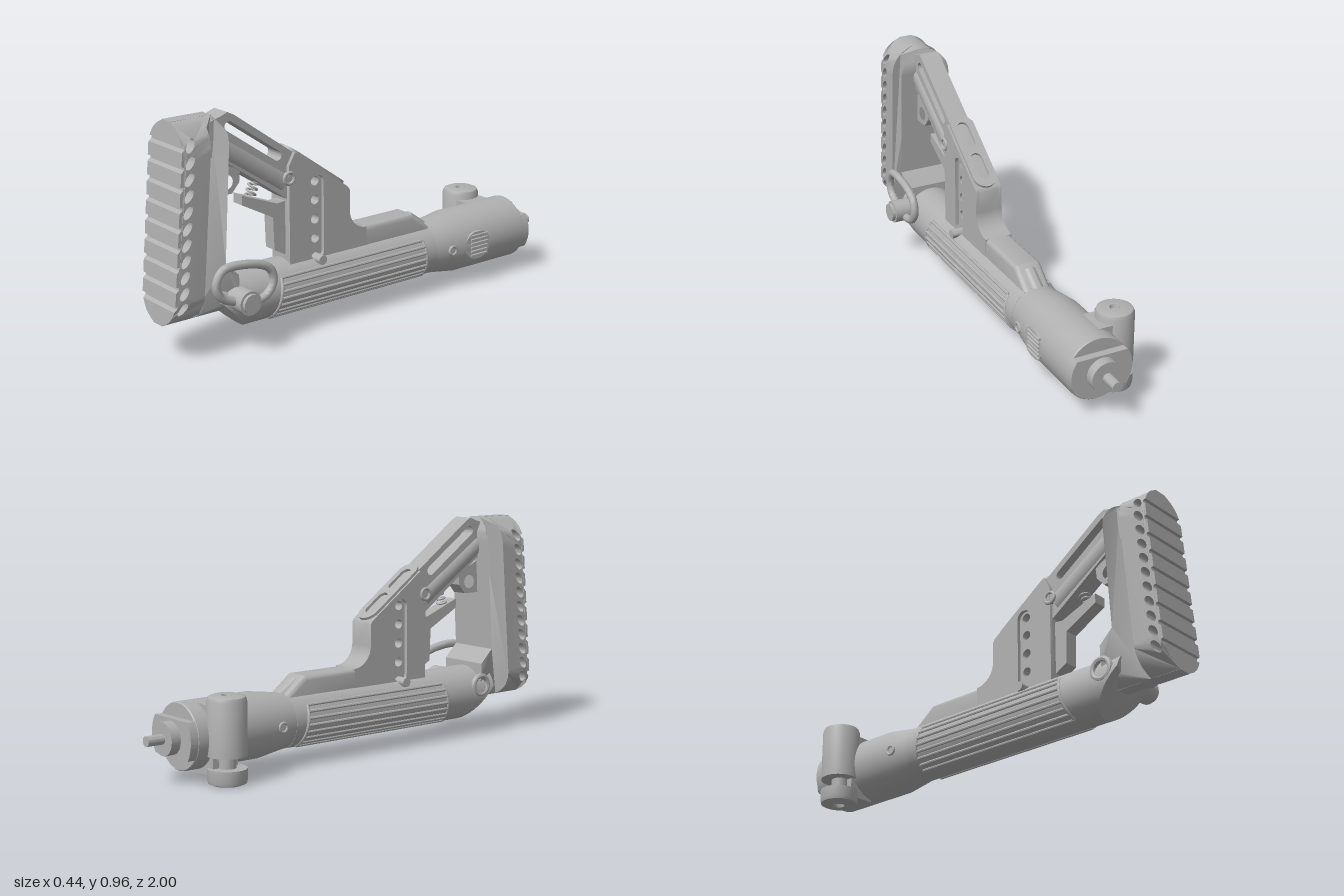
import * as THREE from 'three';
import { toCreasedNormals } from 'three/addons/utils/BufferGeometryUtils.js';

const grey = new THREE.MeshStandardMaterial({ color: 0xb0b0b0 });
grey.name = 'matteGrey';
const V = (x, y, z) => new THREE.Vector3(x, y, z);

export function createModel() {
  const model = new THREE.Group();
  model.name = 'shoulderStock';
  const body = new THREE.Group();
  body.name = 'stockAssembly';
  body.position.x = 0.007;
  model.add(body);

  const add = (name, geo, crease = 0.6) => {
    const mesh = new THREE.Mesh(toCreasedNormals(geo, crease), grey);
    mesh.name = name;
    body.add(mesh);
    return mesh;
  };
  const shapeOf = (pts) => new THREE.Shape(pts.map((p) => new THREE.Vector2(p[0], p[1])));
  const disc = (z, y, rz, ry = rz, rot = 0) => new THREE.Path().absellipse(z, y, rz, ry, 0, Math.PI * 2, true, rot);
  // Capsule outline between two points
  const slot = (a, b, r, Type = THREE.Path) => {
    const t = Math.atan2(b[1] - a[1], b[0] - a[0]), h = Math.PI / 2;
    return new Type().absarc(b[0], b[1], r, t - h, t + h, false).absarc(a[0], a[1], r, t + h, t + 3 * h, false);
  };
  // Side profile in (z, y), extruded across x and centred on x
  const side = (shape, width, x = 0, bevel = 0) => {
    const depth = width - 2 * bevel;
    const g = new THREE.ExtrudeGeometry(shape, {
      depth, curveSegments: 10, bevelEnabled: bevel > 0, bevelSize: bevel,
      bevelThickness: bevel, bevelOffset: -bevel, bevelSegments: 3,
    });
    return g.translate(0, 0, -depth / 2).rotateY(-Math.PI / 2).translate(x, 0, 0);
  };
  const rod = (a, b, r, r2 = r, seg = 28) => {
    const d = b.clone().sub(a);
    const g = new THREE.CylinderGeometry(r2, r, d.length(), seg);
    g.applyQuaternion(new THREE.Quaternion().setFromUnitVectors(V(0, 1, 0), d.clone().normalize()));
    const m = a.clone().add(b).multiplyScalar(0.5);
    return g.translate(m.x, m.y, m.z);
  };
  const tube = (pts, r, closed = false, n = 64) =>
    new THREE.TubeGeometry(new THREE.CatmullRomCurve3(pts, closed), n, r, 10, closed);
  const block = (w, h, d, x, y, z) => new THREE.BoxGeometry(w, h, d).translate(x, y, z);

  // Butt pad: grooved profile, narrowed at both ends into a stadium outline
  const R = 0.119, low = 0.273, high = 0.844;
  const halfWidth = (y) => {
    const d = y > high ? y - high : y < low ? low - y : 0;
    return Math.max(0.03, Math.sqrt(Math.max(0, R * R - d * d)));
  };
  const toStadium = (g) => {
    const p = g.attributes.position;
    for (let i = 0; i < p.count; i++) p.setX(i, p.getX(i) * halfWidth(p.getY(i)) / R);
    return g;
  };
  const ys = [];
  for (let i = 0; i <= 10; i++) {
    const c = R * Math.cos(i * Math.PI / 20);
    ys.push(low - c, high + c);
  }
  ys.sort((a, b) => a - b);
  const zFront = (y) => 0.93 + (0.965 - y) * 0.0864;
  const zSeam = (y) => 0.8 + (0.965 - y) * 0.08;
  const grooves = Array.from({ length: 9 }, (_, i) => 0.885 - i * 0.0785);
  let front = ys.filter((y) => !grooves.some((g) => y < g + 0.003 && y > g - 0.028)).map((y) => [y, 0]);
  grooves.forEach((g) => front.push([g, 0], [g - 0.003, 0.012], [g - 0.014, 0.012], [g - 0.025, 0]));
  front.sort((a, b) => a[0] - b[0]);
  const padShape = shapeOf([
    ...front.map(([y, d]) => [zFront(y) - d, y]),
    ...[...ys].reverse().map((y) => [zSeam(y), y]),
  ]);
  for (let i = 0; i < 11; i++) {
    const y = 0.88 - i * 0.0645;
    padShape.holes.push(disc(zFront(y) - 0.04, y, 0.03, 0.016, Math.PI * 0.7));
  }
  add('buttPad', toStadium(side(padShape, R * 2)));

  // Butt body in front of the pad
  const zInner = (y) => Math.max(0.69, 0.72 + (0.91 - y) * 0.06 + Math.max(0, y - 0.9) * 0.5 - Math.max(0, 0.38 - y) * 1.1);
  const innerYs = [...ys, 0.3, 0.32, 0.34, 0.36, 0.38, 0.6].sort((a, b) => a - b);
  add('buttBody', toStadium(side(shapeOf([
    ...ys.map((y) => [zSeam(y), y]),
    ...innerYs.reverse().map((y) => [zInner(y), y]),
  ]), R * 1.94)));

  // Grip tube with a slanted rear end
  const cy = 0.183, r = 0.118;
  const grip = new THREE.CylinderGeometry(r, r, 1, 48).rotateX(Math.PI / 2);
  const gp = grip.attributes.position;
  for (let i = 0; i < gp.count; i++) {
    const y = gp.getY(i) + cy;
    gp.setXYZ(i, gp.getX(i), y, gp.getZ(i) > 0 ? Math.min(0.77, 0.62 + (y - 0.065)) : -0.35);
  }
  add('gripTube', grip);

  // Ribbed grip panels on both sides
  for (const s of [1, -1]) {
    const at = (deg, z) => {
      const a = deg * Math.PI / 180;
      return V(s * Math.cos(a) * 0.118, cy + Math.sin(a) * 0.118, z);
    };
    for (let i = 0; i < 8; i++) {
      const deg = 36 - i * 14, t = i / 7;
      add('gripRib', rod(at(deg, 0.47 + 0.04 * t), at(deg, -0.28 - 0.03 * t), 0.007, 0.007, 8));
    }
    for (const [z0, z1] of [[0.47, 0.51], [-0.28, -0.31]])
      add('gripPanelEnd', tube([0, 1, 2, 3, 4].map((k) => at(36 - k * 24.5, z0 + (z1 - z0) * k / 4)), 0.007, false, 16));
  }

  // Top ridge ahead of the post, with a small raised catch
  add('topRidge', side(shapeOf([[0.1, 0.24], [0.1, 0.365], [-0.26, 0.365], [-0.37, 0.28], [-0.37, 0.24]]), 0.12, 0, 0.02));
  add('ridgeCatch', rod(V(0, 0.335, -0.27), V(0, 0.275, -0.355), 0.03));
  add('crossBand', rod(V(-0.1, 0.283, 0.26), V(0.1, 0.283, 0.26), 0.02));

  // Cheek frame: post, diagonal strut and slots
  const sweep = [];
  for (let i = 0; i <= 8; i++) {
    const a = i * Math.PI / 16;
    sweep.push([0.09 - 0.09 * (1 - Math.cos(a)), 0.455 - 0.09 * Math.sin(a)]);
  }
  const postFront = [[0.1, 0.56], [0.09, 0.545], ...sweep, [0, 0.25]];
  const core = shapeOf([[0.4, 0.25], [0.4, 0.56], [0.72, 0.785], [0.78, 0.8], [0.78, 0.935], [0.72, 0.95], [0.68, 0.965], [0.65, 0.95], ...postFront]);
  core.holes.push(slot([0.675, 0.908], [0.445, 0.748], 0.02));
  for (const y of [0.61, 0.53, 0.447, 0.365]) core.holes.push(disc(0.26, y, 0.02));
  add('cheekFrame', side(core, 0.09));
  const skin = shapeOf([[0.4, 0.25], [0.4, 0.7], [0.37, 0.752], ...postFront]);
  skin.holes.push(slot([0.26, 0.31], [0.26, 0.605], 0.034));
  for (const s of [1, -1]) {
    add('postSide', side(skin, 0.016, s * 0.053));
    add('pivotRing', new THREE.TorusGeometry(0.024, 0.007, 8, 24).rotateY(Math.PI / 2).translate(s * 0.061, 0.65, 0.4));
    add('pivotPin', rod(V(0, 0.65, 0.4), V(s * 0.058, 0.65, 0.4), 0.024));
  }
  add('strutTube', rod(V(0, 0.845, 0.735), V(0, 0.63, 0.41), 0.056));

  // Slotted plate on the sloping cheek
  const plate = slot([0, -0.13], [0, 0.13], 0.052, THREE.Shape);
  plate.holes.push(slot([0, -0.12], [0, -0.04], 0.025), slot([0, 0.04], [0, 0.12], 0.025));
  const plateGeo = new THREE.ExtrudeGeometry(plate, { depth: 0.012, bevelEnabled: false });
  const d = V(0, 0.58, 0.815).normalize(), n = V(0, d.z, -d.y);
  plateGeo.applyMatrix4(new THREE.Matrix4().makeBasis(V(-1, 0, 0), d, n).setPosition(0, 0.663, 0.245));
  add('cheekPlate', plateGeo);

  // Lug, lever and spring inside the opening
  const lug = shapeOf([[0.77, 0.79], [0.77, 0.63], [0.66, 0.63], [0.625, 0.67], [0.62, 0.72]]);
  lug.holes.push(disc(0.685, 0.68, 0.03));
  add('lug', side(lug, 0.07));
  add('lever', side(shapeOf([[0.61, 0.61], [0.61, 0.57], [0.46, 0.49], [0.455, 0.35], [0.4, 0.32], [0.39, 0.55], [0.44, 0.545]]), 0.06));
  const coil = [];
  for (let i = 0; i <= 48; i++) {
    const a = i * Math.PI / 6, t = i / 48;
    coil.push(V(0.02 * Math.cos(a), 0.585 + 0.08 * t + 0.008 * Math.sin(a), 0.555 - 0.035 * t + 0.018 * Math.sin(a)));
  }
  add('spring', tube(coil, 0.005, false, 160));

  // Sling swivel on the left, matching socket on the right
  add('swivelStud', rod(V(0.05, 0.223, 0.69), V(0.193, 0.223, 0.69), 0.05));
  add('swivelCap', rod(V(0.19, 0.223, 0.69), V(0.208, 0.223, 0.69), 0.04));
  add('slingLoop', tube([[0.82, 0.31], [0.79, 0.365], [0.74, 0.375], [0.61, 0.355], [0.56, 0.325], [0.545, 0.275], [0.575, 0.225], [0.63, 0.207], [0.74, 0.23], [0.8, 0.26]]
    .map(([z, y]) => V(0.145, y, z)), 0.018, true), 1);
  add('socketRing', new THREE.TorusGeometry(0.042, 0.012, 8, 28).rotateY(Math.PI / 2).translate(-0.11, 0.223, 0.69));

  // Rear receiver barrel, end bar and rod
  const lathe = [[0, -0.85], [0.134, -0.85], [0.138, -0.845], [0.138, -0.5], [0.12, -0.38], [0.116, -0.34], [0, -0.34]];
  add('adapterBarrel', new THREE.LatheGeometry(lathe.map((p) => new THREE.Vector2(...p)), 48).rotateX(Math.PI / 2).translate(0, cy, 0));
  const cut = Math.asin(0.077 / 0.136);
  const bar = new THREE.Shape().absarc(0, 0, 0.136, -cut, cut, false).absarc(0, 0, 0.136, Math.PI - cut, Math.PI + cut, false);
  add('endBar', new THREE.ExtrudeGeometry(bar, { depth: 0.05, bevelEnabled: false }).translate(0, cy, -0.883));
  add('endBoss', rod(V(0, cy, -0.86), V(0, cy, -0.925), 0.068));
  add('endRod', rod(V(0, cy, -0.9), V(0, cy, -1), 0.021));
  for (const s of [1, -1]) {
    add('screw', new THREE.TorusGeometry(0.019, 0.006, 8, 20).rotateY(Math.PI / 2).translate(s * 0.13, cy, -0.43));
    add('screwHead', rod(V(0, cy, -0.43), V(s * 0.131, cy, -0.43), 0.013));
  }

  // Ribbed release button
  const button = slot([-0.56, cy], [-0.58, cy], 0.062, THREE.Shape);
  add('releaseButton', side(button, 0.03, 0.122));
  for (let i = 0; i < 6; i++) {
    const y = cy - 0.045 + i * 0.018;
    add('buttonRib', rod(V(0.136, y, -0.53), V(0.136, y, -0.625), 0.007, 0.007, 6));
  }

  // Folding hinge on the right side
  const hx = -0.147, hz = -0.72;
  const turned = (pts) => new THREE.LatheGeometry(pts.map((p) => new THREE.Vector2(...p)), 36).translate(hx, 0, hz);
  add('hingeBarrel', turned([[0, 0.115], [0.08, 0.115], [0.08, 0.335], [0.074, 0.349], [0.06, 0.355], [0.022, 0.355], [0.018, 0.34], [0, 0.34]]));
  add('hingeFoot', turned([[0, 0.015], [0.022, 0.015], [0.025, 0], [0.062, 0], [0.076, 0.006], [0.08, 0.02], [0.08, 0.065], [0, 0.065]]));
  add('hingePin', rod(V(hx, 0.05, hz), V(hx, 0.13, hz), 0.035));
  add('hingeBridge', block(0.15, 0.2, 0.13, -0.07, 0.215, hz));
  add('hingeFootBridge', block(0.12, 0.08, 0.12, -0.075, 0.075, hz));
  return model;
}
